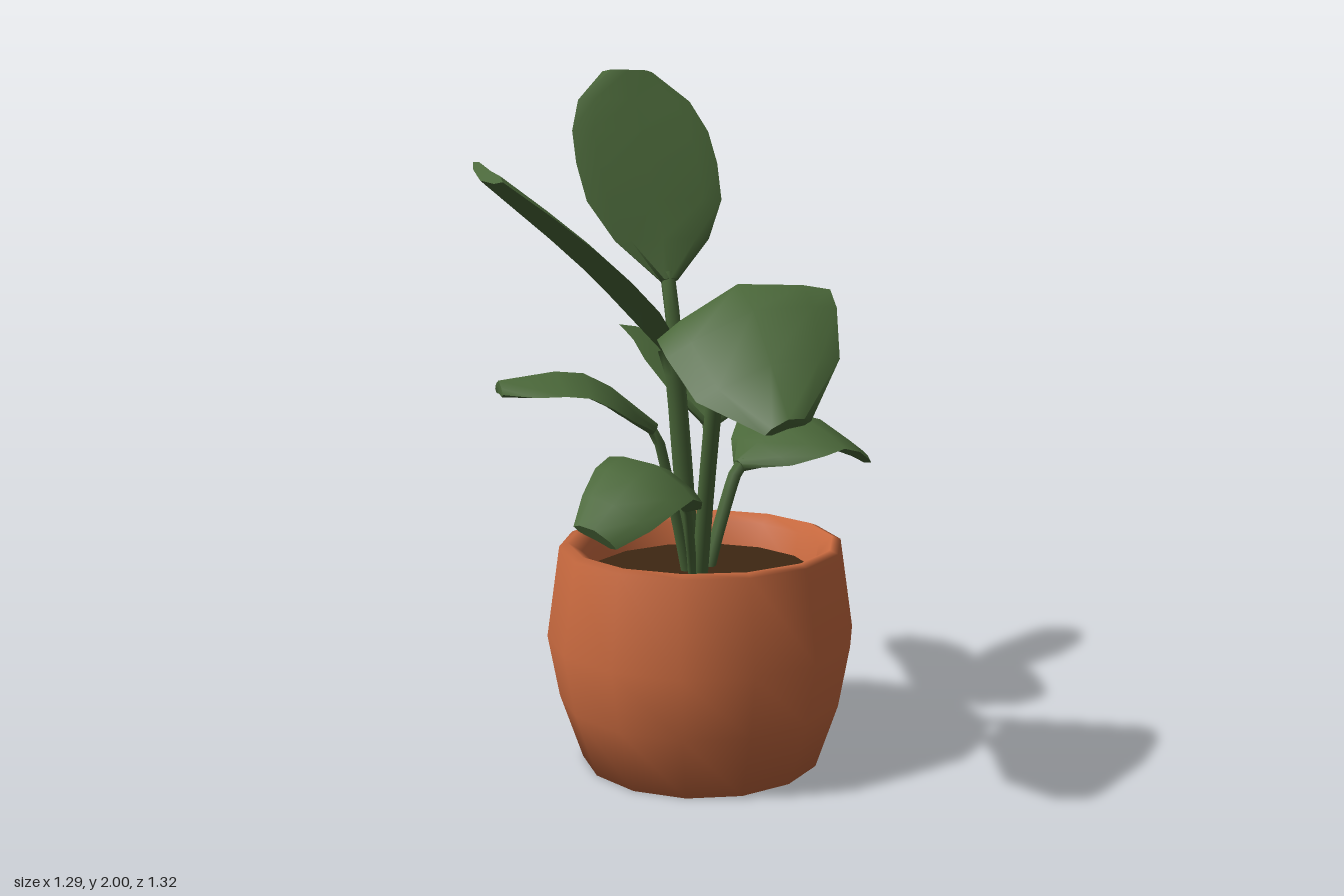
import * as THREE from 'three';
import { toCreasedNormals } from 'three/addons/utils/BufferGeometryUtils.js';

const V = (p) => new THREE.Vector3(...p);

// Share of the half width at each row of a blade, from base towards the tip
const WIDTHS = [0.12, 0.66, 0.95, 1, 0.97, 0.8];
const THICKNESS = 0.018;

// Blade: a flattened cylinder bent along the midrib, tapered, rolled to one side and cupped
function bladeGeometry(midrib, half, roll, cup, end) {
  const widths = [...WIDTHS, end];
  const rows = WIDTHS.length;
  const heading = midrib.getPoint(1).sub(midrib.getPoint(0));
  const across = new THREE.Vector3(-heading.z, 0, heading.x).normalize().setY(roll).normalize();
  const geometry = new THREE.CylinderGeometry(1, 1, 1, 8, rows);
  const pos = geometry.attributes.position;
  for (let i = 0; i < pos.count; i++) {
    const t = THREE.MathUtils.clamp(0.5 - pos.getY(i), 0, 1);
    const u = pos.getX(i);
    const w = half * widths[Math.round(t * rows)];
    const up = across.clone().cross(midrib.getTangent(t)).normalize();
    const lift = Math.abs(u) * cup * w - pos.getZ(i) * THICKNESS;
    const p = midrib.getPoint(t).addScaledVector(across, u * w).addScaledVector(up, lift);
    pos.setXYZ(i, p.x, p.y, p.z);
  }
  return toCreasedNormals(geometry, 1.2);
}

// Stalk: a tube that bows from the crown in the soil into the base of the blade
function stalkGeometry(midrib, radius) {
  const base = midrib.getPoint(0);
  const root = new THREE.Vector3(-0.01 + 0.2 * base.x, 0.5, -0.06 + 0.15 * base.z);
  const bow = root.clone().lerp(base, 0.5);
  bow.x += (root.x - base.x) * 0.06;
  bow.z += (root.z - base.z) * 0.06;
  const path = new THREE.CatmullRomCurve3([root, bow, base, midrib.getPoint(0.03)]);
  return new THREE.TubeGeometry(path, 8, radius, 6);
}

export function createModel() {
  const terracotta = new THREE.MeshStandardMaterial({ color: 0xcb6b40 });
  const soilBrown = new THREE.MeshStandardMaterial({ color: 0x3e2712 });
  const leafGreen = new THREE.MeshStandardMaterial({ color: 0x4a6739 });
  terracotta.name = 'terracotta';
  soilBrown.name = 'soilBrown';
  leafGreen.name = 'leafGreen';

  const group = new THREE.Group();
  group.name = 'pottedPlant';
  const add = (parent, name, geometry, material) => {
    const mesh = new THREE.Mesh(geometry, material);
    mesh.name = name;
    parent.add(mesh);
    return mesh;
  };

  // Softly shaded pot with a thick rim and a hollow top
  const profile = new THREE.Path().moveTo(0, 0).lineTo(0.35, 0).lineTo(0.415, 0.19).lineTo(0.448, 0.37)
    .lineTo(0.41, 0.635).lineTo(0.385, 0.645).lineTo(0.345, 0.62).lineTo(0.325, 0.5);
  const pot = add(group, 'pot', new THREE.LatheGeometry(profile.getPoints(1), 14), terracotta);
  pot.position.set(-0.03, 0, -0.035);

  // Soil disc inside the rim
  const soil = add(group, 'soil', new THREE.CylinderGeometry(0.33, 0.33, 0.03, 14), soilBrown);
  soil.position.set(-0.03, 0.535, -0.035);

  // Leaf: base, middle and tip of the midrib, then half width, roll, cup and tip width
  const addLeaf = (name, base, middle, tip, half, roll, cup, end) => {
    const midrib = new THREE.CatmullRomCurve3([V(base), V(middle), V(tip)]);
    const leaf = new THREE.Group();
    leaf.name = name;
    add(leaf, 'blade', bladeGeometry(midrib, half, roll, cup, end), leafGreen);
    add(leaf, 'stalk', stalkGeometry(midrib, half * 0.1), leafGreen);
    group.add(leaf);
  };
  addLeaf('tallBackLeaf', [0.02, 1.38, -0.22], [0.08, 1.71, -0.38], [0.14, 1.99, -0.53], 0.225, 0, 0.08, 0.36);
  addLeaf('broadUpperLeaf', [-0.11, 1.2, -0.08], [-0.32, 1.45, -0.19], [-0.62, 1.69, -0.24], 0.268, 0.22, 0.1, 0.44);
  addLeaf('frontLeaf', [-0.13, 1.22, 0.14], [-0.25, 1.4, 0.33], [-0.4, 1.11, 0.64], 0.24, -0.25, -0.26, 0.25);
  addLeaf('lowSideLeaf', [-0.17, 0.78, 0.05], [-0.37, 0.92, 0.13], [-0.6, 0.79, 0.16], 0.14, 0.33, -0.15, 0.5);
  addLeaf('hiddenSideLeaf', [-0.17, 0.98, -0.08], [-0.35, 1.13, -0.18], [-0.56, 1.12, -0.28], 0.15, 0, -0.22, 0.4);
  addLeaf('lowRightLeaf', [0.13, 0.84, -0.04], [0.37, 0.95, -0.02], [0.63, 0.82, -0.02], 0.2, -0.18, -0.14, 0.42);
  addLeaf('backRightLeaf', [0.12, 0.95, -0.15], [0.24, 1.1, -0.37], [0.32, 1.16, -0.64], 0.2, -0.28, 0.18, 0.35);
  return group;
}
